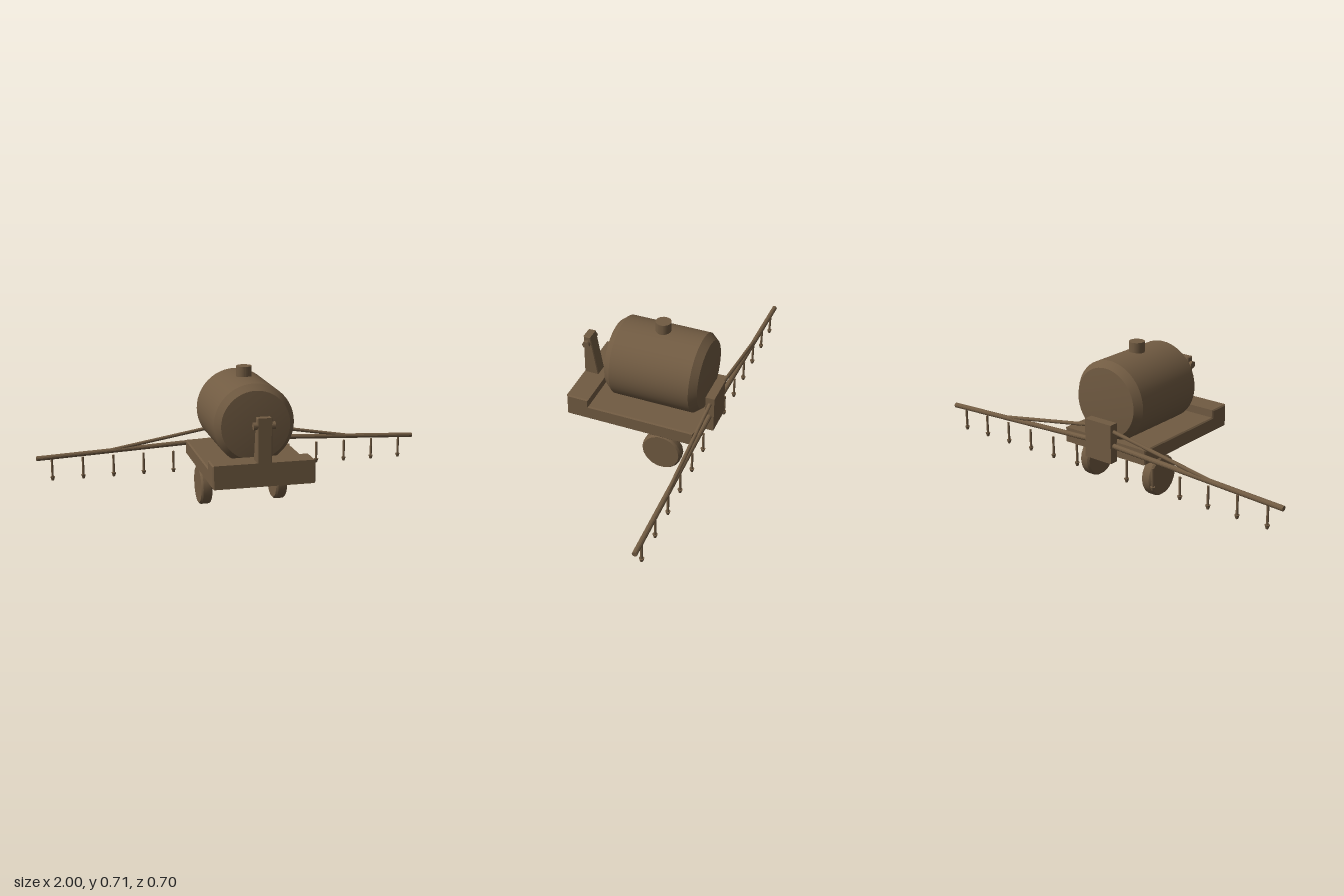
import * as THREE from 'three';
import { toCreasedNormals } from 'three/addons/utils/BufferGeometryUtils.js';

export function createModel() {
  const group = new THREE.Group();
  const brown = new THREE.MeshStandardMaterial({ color: 0x715b42 });
  brown.name = 'earthBrown';

  const add = (name, geometry, x = 0, y = 0, z = 0) => {
    const mesh = new THREE.Mesh(toCreasedNormals(geometry, 0.45), brown);
    mesh.name = name;
    mesh.position.set(x, y, z);
    group.add(mesh);
    return mesh;
  };

  // Side profile given as [z, y], extruded across x with a small bevel
  const sideExtrude = (points, width, bevel) => {
    const shape = new THREE.Shape(points.map(([z, y]) => new THREE.Vector2(-z, y)));
    const geometry = new THREE.ExtrudeGeometry(shape, {
      depth: width - 2 * bevel, bevelEnabled: true, bevelSize: bevel,
      bevelThickness: bevel, bevelOffset: -bevel, bevelSegments: 1,
    });
    return geometry.translate(0, 0, bevel - width / 2).rotateY(Math.PI / 2);
  };

  // Round bar between two points
  const bar = (name, a, b, radius) => {
    const from = new THREE.Vector3(...a), to = new THREE.Vector3(...b);
    const mesh = add(name, new THREE.CylinderGeometry(radius, radius, from.distanceTo(to), 12));
    mesh.position.copy(from).add(to).multiplyScalar(0.5);
    mesh.quaternion.setFromUnitVectors(new THREE.Vector3(0, 1, 0), to.sub(from).normalize());
  };

  // Chassis with raised front beam
  add('chassis', sideExtrude([
    [0.348, 0.215], [0.348, 0.328], [0.235, 0.328], [0.235, 0.289],
    [-0.304, 0.289], [-0.304, 0.215],
  ], 0.49, 0.006));

  // Tapered hitch post and its cross pin
  add('hitchPost', sideExtrude([
    [0.348, 0.322], [0.348, 0.539], [0.312, 0.539], [0.274, 0.322],
  ], 0.07, 0.004));
  add('hitchPin', new THREE.CylinderGeometry(0.018, 0.018, 0.104, 20).rotateZ(Math.PI / 2), 0, 0.5, 0.33);

  // Tank with chamfered shoulders and shallow conical ends
  const tankProfile = [
    [0, -0.304], [0.168, -0.29], [0.196, -0.255],
    [0.196, 0.145], [0.168, 0.18], [0, 0.194],
  ].map(([r, z]) => new THREE.Vector2(r, z));
  add('tank', new THREE.LatheGeometry(tankProfile, 48).rotateX(Math.PI / 2), 0, 0.464, 0);
  add('fillerCap', new THREE.CylinderGeometry(0.038, 0.038, 0.07, 24), 0, 0.673, -0.056);

  // Rear plate carrying the booms
  add('boomPlate', new THREE.BoxGeometry(0.156, 0.192, 0.045), 0, 0.289, -0.325);

  const boomZ = -0.325;
  for (const side of [1, -1]) {
    // Wheel
    const tyre = [[0, -0.028], [0.092, -0.028], [0.1, -0.018], [0.1, 0.018], [0.092, 0.028], [0, 0.028]]
      .map(([r, h]) => new THREE.Vector2(r, h));
    add('wheel', new THREE.LatheGeometry(tyre, 18).rotateZ(Math.PI / 2), side * 0.192, 0.1, -0.132);

    // Spray boom and its brace
    bar('boom', [0, 0.28, boomZ], [side * 0.9995, 0.233, boomZ], 0.0125);
    bar('boomBrace', [side * 0.05, 0.352, boomZ], [side * 0.65, 0.25, boomZ], 0.009);

    // Spray nozzles: thin stem with a flared tip
    for (let i = 1; i <= 6; i++) {
      const x = side * i * 0.1538;
      add('nozzleStem', new THREE.CylinderGeometry(0.006, 0.006, 0.095, 10), x, 0.18, boomZ);
      add('nozzleTip', new THREE.CylinderGeometry(0.012, 0.006, 0.019, 10), x, 0.1255, boomZ);
    }
  }
  return group;
}
